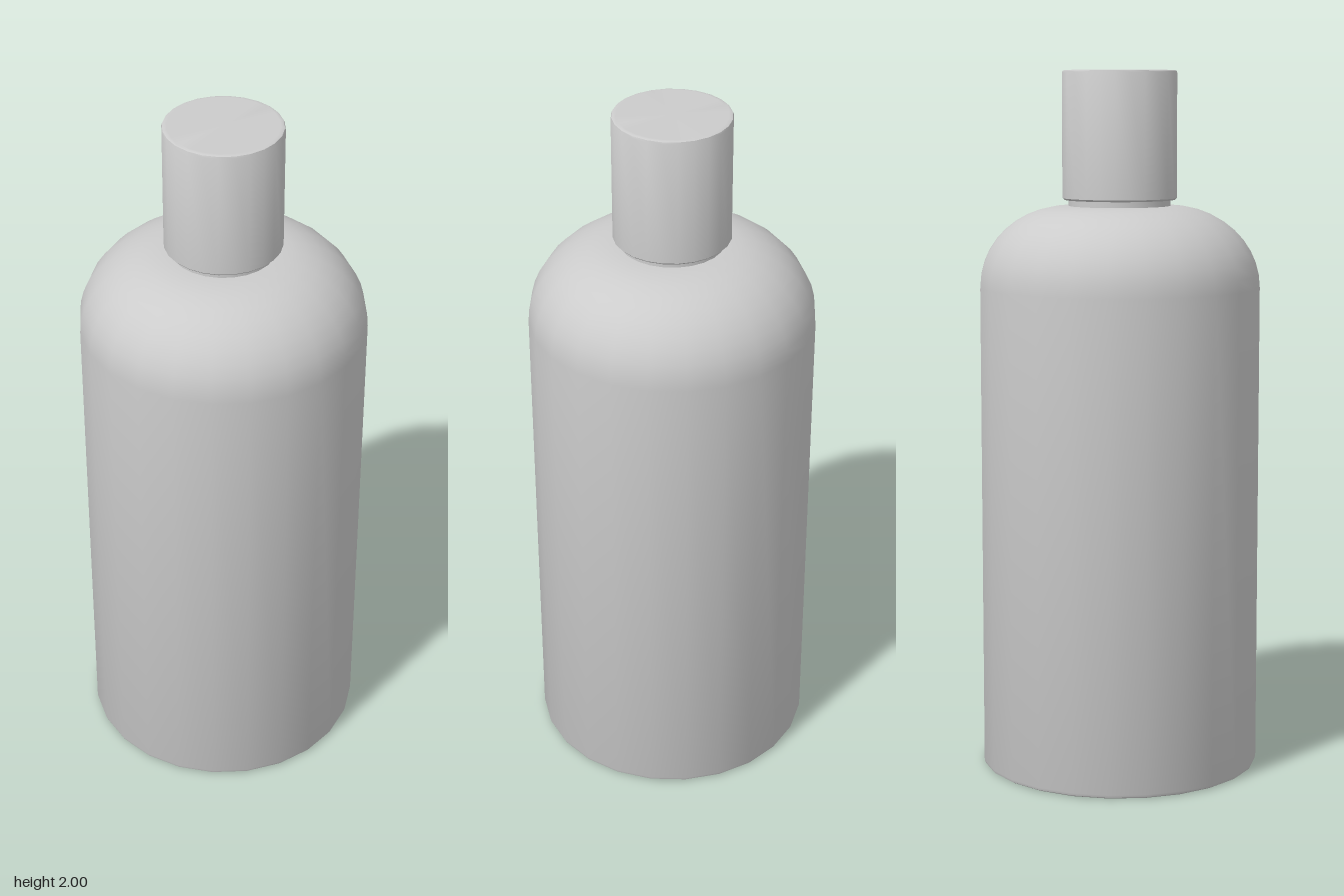
import * as THREE from 'three';
import { toCreasedNormals } from 'three/addons/utils/BufferGeometryUtils.js';

const SIDES = 24;
const material = new THREE.MeshStandardMaterial({ color: 0xcccccc });

// Revolve a profile of [radius, height] pairs, listed from bottom to top
function turned(name, profile) {
  const points = profile.map(([r, y]) => new THREE.Vector2(r, y));
  const geometry = toCreasedNormals(new THREE.LatheGeometry(points, SIDES), 0.6);
  const mesh = new THREE.Mesh(geometry, material);
  mesh.name = name;
  return mesh;
}

export function createModel() {
  const group = new THREE.Group();
  group.name = 'bottle';

  // Body: flat base with a small bevel, straight wall, elliptical shoulder
  const shoulder = [];
  const steps = 10;
  for (let i = 0; i <= steps; i++) {
    const a = (i / steps) * Math.PI / 2;
    shoulder.push([0.15 + 0.25 * Math.cos(a), 1.39 + 0.23 * Math.sin(a)]);
  }
  group.add(turned('body', [
    [0, 0], [0.385, 0], [0.39, 0], [0.397, 0.004], [0.4, 0.012],
    ...shoulder, [0.13, 1.62],
  ]));

  // Neck: short ring showing between shoulder and cap
  group.add(turned('neck', [[0.145, 1.61], [0.145, 1.65]]));

  // Cap: plain cylinder with slightly softened rims
  group.add(turned('cap', [
    [0.13, 1.637], [0.158, 1.637], [0.163, 1.642],
    [0.163, 1.993], [0.161, 1.998], [0.156, 2], [0.15, 2], [0, 2],
  ]));

  return group;
}
